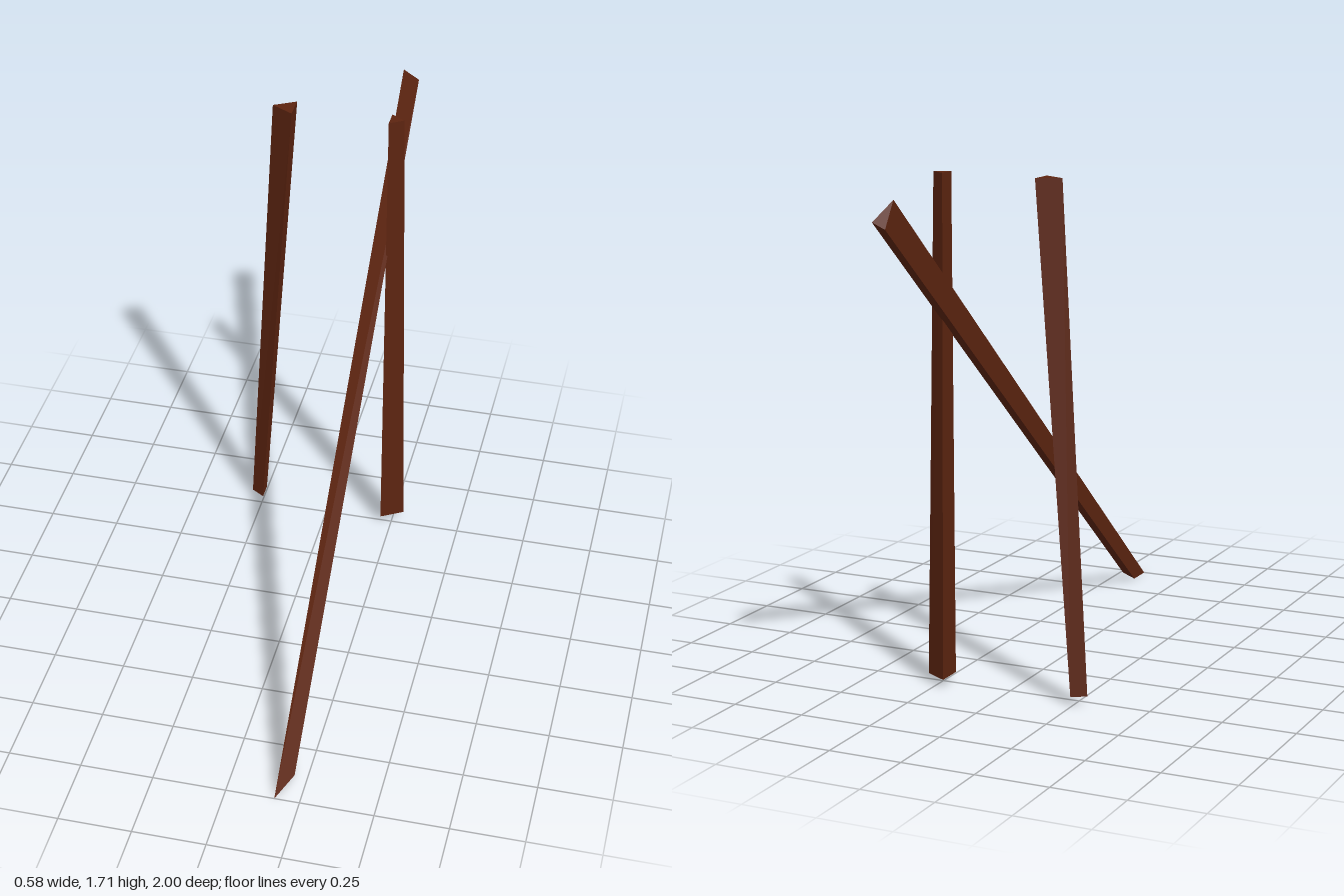
import * as THREE from 'three';

// Tapered three-sided beam between two triangles, counter-clockwise seen from the top end
function taperedPrism(name, bottom, top, material) {
  const tris = [[bottom[2], bottom[1], bottom[0]], top];
  for (let i = 0; i < 3; i++) {
    const j = (i + 1) % 3;
    tris.push([bottom[i], bottom[j], top[j]], [bottom[i], top[j], top[i]]);
  }
  const geometry = new THREE.BufferGeometry();
  geometry.setAttribute('position', new THREE.Float32BufferAttribute(tris.flat(2), 3));
  geometry.computeVertexNormals();
  const mesh = new THREE.Mesh(geometry, material);
  mesh.name = name;
  return mesh;
}

// Horizontal triangle: flat edge at x = base, ridge at x = apex, half width h in z
function section(y, base, apex, h) {
  const z = -0.528;
  const s = Math.sign(apex - base);
  return [[base, y, z + s * h], [apex, y, z], [base, y, z - s * h]];
}

export function createModel() {
  const group = new THREE.Group();
  group.name = 'splitWoodBeams';
  const wood = new THREE.MeshStandardMaterial({ color: 0x5c2410, flatShading: true });
  wood.name = 'darkBrownWood';

  // Upright posts, ridges facing outward
  group.add(taperedPrism('leftPost',
    section(0.03, 0.212, 0.29, 0.046), section(1.71, 0.202, 0.25, 0.031), wood));
  group.add(taperedPrism('rightPost',
    section(0.03, -0.245, -0.292, 0.03), section(1.71, -0.13, -0.205, 0.042), wood));

  // Long leaning brace, cut level at the foot and square at the head
  group.add(taperedPrism('leaningBrace',
    [[0.165, 0, 1], [0.21, 0.02, 0.9], [0.165, 0, 0.905]],
    [[0.165, 1.67, -0.945], [0.21, 1.605, -1], [0.165, 1.585, -1]], wood));
  return group;
}
